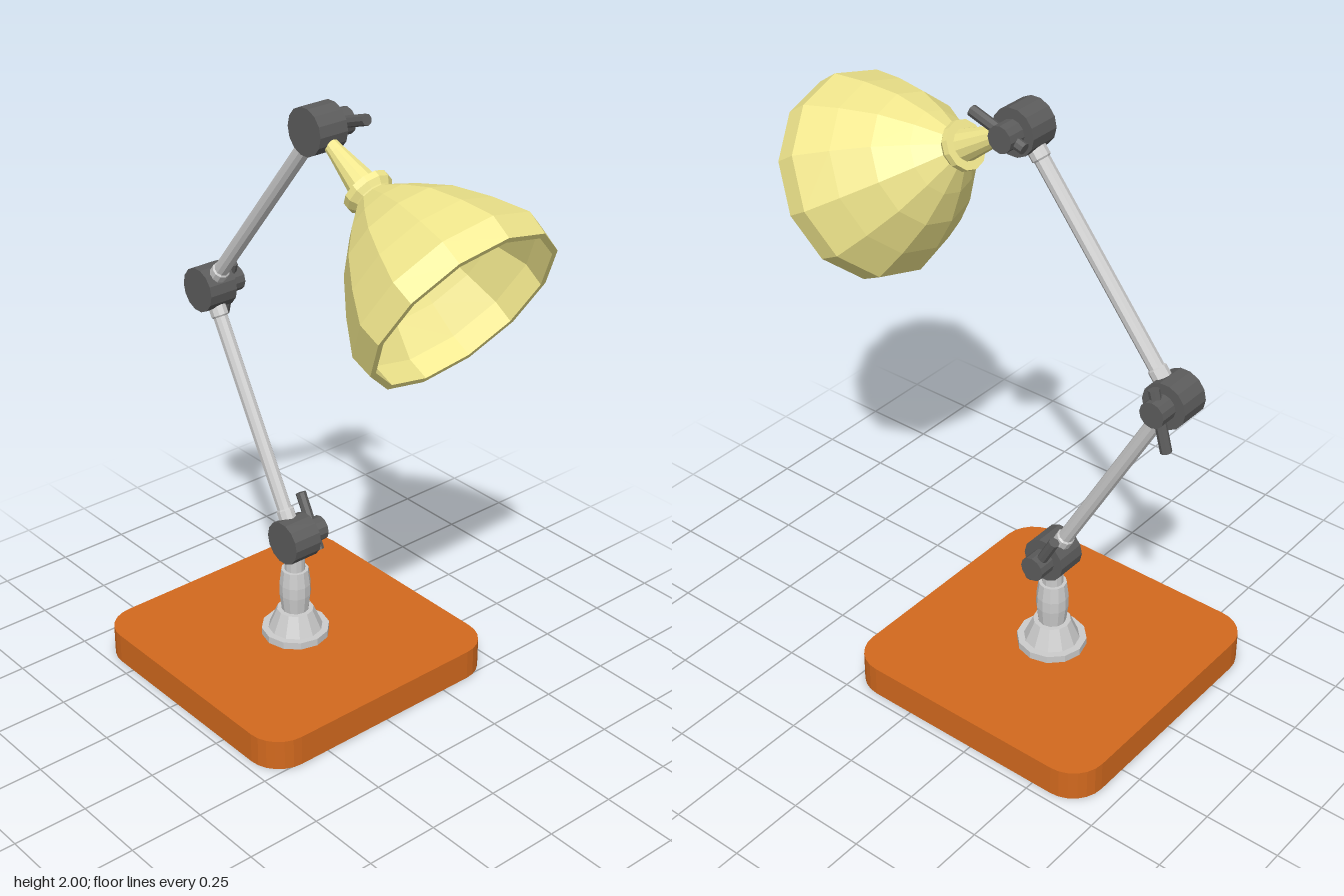
import * as THREE from 'three';

const paint = (color) => new THREE.MeshStandardMaterial({ color, flatShading: true });

export function createModel() {
  const lamp = new THREE.Group();
  lamp.name = 'deskLamp';
  const grey = paint(0xcccccc);
  const dark = paint(0x5c5c5c);
  const wood = paint(0xd2691e);
  const khaki = paint(0xf0e68c);
  const glow = paint(0xdfee00);

  const add = (parent, name, geometry, material) => {
    const mesh = new THREE.Mesh(geometry, material);
    mesh.name = name;
    parent.add(mesh);
    return mesh;
  };
  const lathe = (profile, sides = 12) =>
    new THREE.LatheGeometry(profile.map(([r, y]) => new THREE.Vector2(r, y)), sides);

  // Base: slab with rounded corners
  const w = 0.47, r = 0.113;
  const slab = new THREE.Shape();
  slab.absarc(w - r, w - r, r, 0, Math.PI / 2);
  slab.absarc(-w + r, w - r, r, Math.PI / 2, Math.PI);
  slab.absarc(-w + r, -w + r, r, Math.PI, Math.PI * 1.5);
  slab.absarc(w - r, -w + r, r, Math.PI * 1.5, Math.PI * 2);
  const base = add(lamp, 'base',
    new THREE.ExtrudeGeometry(slab, { depth: 0.105, bevelEnabled: false, curveSegments: 3 }), wood);
  base.rotation.x = -Math.PI / 2;
  base.position.z = -0.212;

  // Post: flange, cone, swelling grip and neck
  const post = add(lamp, 'post', lathe([
    [0.115, 0.1], [0.115, 0.13], [0.092, 0.13], [0.062, 0.2], [0.046, 0.2],
    [0.053, 0.26], [0.053, 0.3], [0.046, 0.355], [0.035, 0.355], [0.035, 0.42],
  ]), grey);
  post.position.z = -0.21;

  // Joints: drum across x, with a knob and a lever on the left side
  const joints = [
    { name: 'lowerJoint', y: 0.47, z: -0.21, turn: -0.49 },
    { name: 'middleJoint', y: 1.235, z: -0.632, turn: -2.87 },
    { name: 'upperJoint', y: 1.925, z: -0.08, turn: 1.25 },
  ];
  for (const { name, y, z, turn } of joints) {
    const joint = new THREE.Group();
    joint.name = name;
    joint.position.set(0, y, z);
    lamp.add(joint);
    add(joint, 'drum', new THREE.CylinderGeometry(0.075, 0.075, 0.104, 14).rotateZ(Math.PI / 2), dark);
    add(joint, 'knob', new THREE.CylinderGeometry(0.042, 0.042, 0.07, 12).rotateZ(Math.PI / 2), dark)
      .position.x = 0.077;
    const lever = add(joint, 'lever',
      new THREE.CylinderGeometry(0.018, 0.018, 0.2, 8).translate(0, 0.033, 0), dark);
    lever.position.x = 0.079;
    lever.rotation.x = turn;
  }

  // Arms: rod between two joints with a collar at each end
  ['lowerArm', 'upperArm'].forEach((name, i) => {
    const a = joints[i], b = joints[i + 1];
    const length = Math.hypot(b.y - a.y, b.z - a.z);
    const arm = add(lamp, name, lathe([
      [0.03, 0.05], [0.03, 0.1], [0.025, 0.105],
      [0.025, length - 0.105], [0.03, length - 0.1], [0.03, length - 0.05],
    ], 10), grey);
    arm.position.set(0, a.y, a.z);
    arm.rotation.x = Math.atan2(b.z - a.z, b.y - a.y);
  });

  // Head: everything lies along local y, tipped forward and 30 degrees down
  const head = new THREE.Group();
  head.name = 'head';
  head.position.set(0, joints[2].y, joints[2].z);
  head.rotation.x = THREE.MathUtils.degToRad(120);
  lamp.add(head);
  add(head, 'neck', lathe([
    [0.022, 0.05], [0.027, 0.1], [0.05, 0.247], [0.077, 0.247],
    [0.077, 0.268], [0.064, 0.285], [0.055, 0.3],
  ]), khaki);
  // Shade with an outer and an inner wall
  add(head, 'shade', lathe([
    [0, 0.285], [0.058, 0.285], [0.128, 0.35], [0.205, 0.435], [0.272, 0.545], [0.326, 0.655], [0.319, 0.732],
    [0.3, 0.732], [0.306, 0.655], [0.254, 0.553], [0.19, 0.45], [0.115, 0.368], [0.05, 0.305], [0, 0.305],
  ]), khaki);
  add(head, 'socket', new THREE.CylinderGeometry(0.05, 0.05, 0.1, 12), khaki).position.y = 0.35;
  add(head, 'bulb', new THREE.SphereGeometry(0.105, 10, 8), glow).position.y = 0.47;

  return lamp;
}
